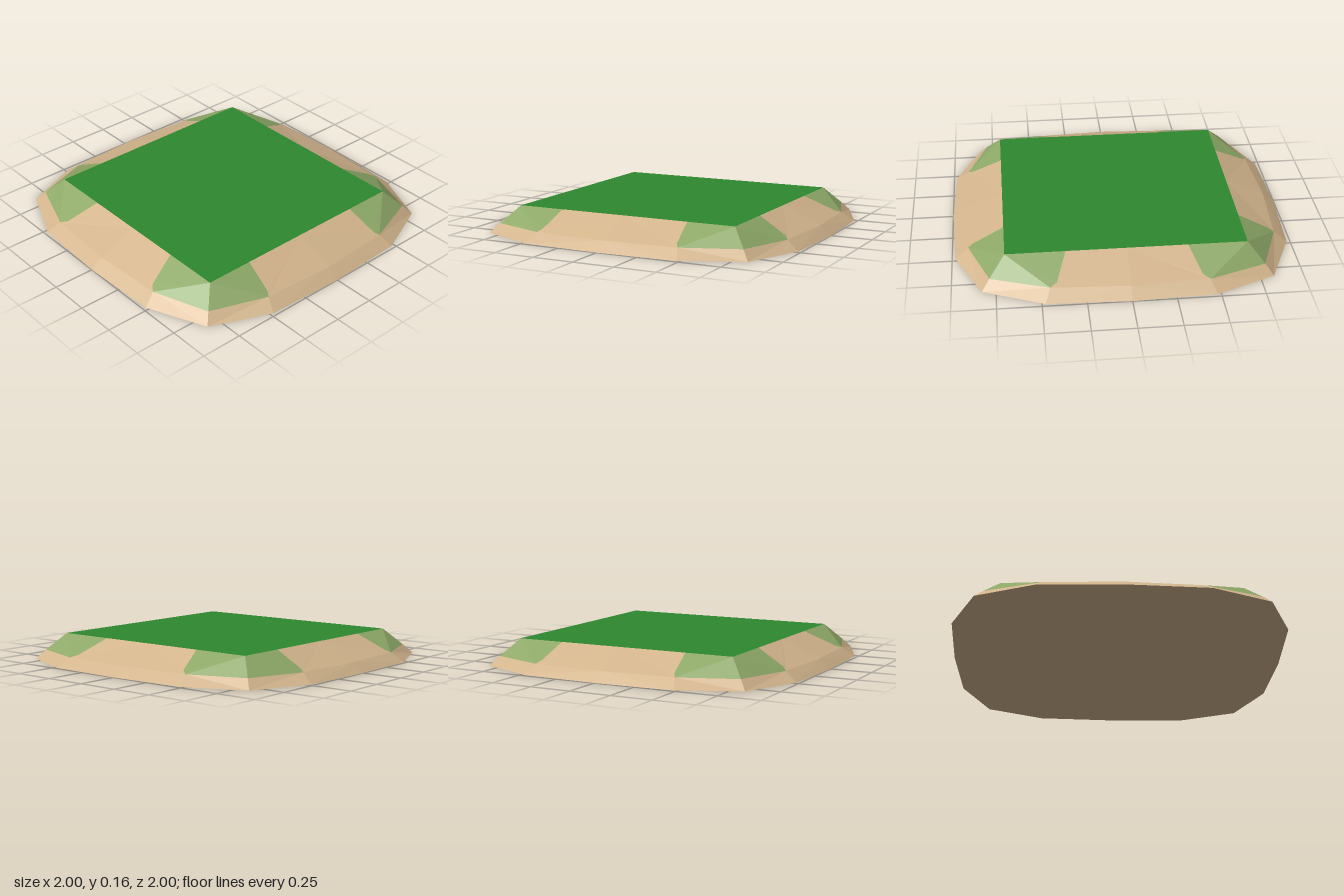
import * as THREE from 'three';

const TOP = 0.155, MID = 0.055, HALF = 0.695;

// Mesh of flat triangle fans; each triangle is wound to face up (1) or down (-1).
function fanMesh(name, polygons, material, facing = 1) {
  const pos = [];
  const n = new THREE.Vector3();
  for (const poly of polygons) {
    for (let i = 1; i < poly.length - 1; i++) {
      const tri = [poly[0], poly[i], poly[i + 1]].map((p) => new THREE.Vector3(...p));
      new THREE.Triangle(...tri).getNormal(n);
      if (n.y * facing < 0) tri.reverse();
      tri.forEach((p) => pos.push(p.x, p.y, p.z));
    }
  }
  const geometry = new THREE.BufferGeometry();
  geometry.setAttribute('position', new THREE.Float32BufferAttribute(pos, 3));
  geometry.computeVertexNormals();
  const mesh = new THREE.Mesh(geometry, material);
  mesh.name = name;
  return mesh;
}

export function createModel() {
  const sand = new THREE.MeshStandardMaterial({ name: 'sand', color: 0xd2b48c });
  const grass = new THREE.MeshStandardMaterial({ name: 'grass', color: 0x2e882e });
  const paleGrass = new THREE.MeshStandardMaterial({ name: 'pale grass', color: 0x8da867 });

  const bank = [], skirt = [], patches = [], base = [];

  // Half of one side (u along the side, v outwards), repeated eight times.
  for (const swap of [false, true]) {
    for (const su of [-1, 1]) {
      for (const sv of [-1, 1]) {
        const place = ([u, y, v]) => (swap ? [v * sv, y, u * su] : [u * su, y, v * sv]);
        const add = (list, ...points) => list.push(points.map(place));

        const topCentre = [0, TOP, HALF];
        const topCorner = [HALF, TOP, HALF];
        const patchTop = [swap ? 0.405 : 0.35, TOP, HALF];
        const patchSide = [swap ? 0.43 : 0.41, 0.07, 0.875];
        const midCentre = [0, MID, 0.93];
        const midSide = [0.45, MID, 0.905];
        const midCorner = [0.785, MID, 0.785];
        const outCentre = [0, 0, 1];
        const outSide = [0.48, 0, 0.98];
        const outCorner = [0.83, 0, 0.83];

        // upper slope and its corner patch
        add(bank, topCentre, patchTop, patchSide, midSide, midCentre);
        add(patches, topCorner, patchTop, patchSide, midSide, midCorner);
        // steeper lower rim
        add(skirt, midCentre, midSide, outSide, outCentre);
        add(skirt, midSide, midCorner, outCorner, outSide);
        // underside
        add(base, [0, 0, 0], outCentre, outSide, outCorner);
      }
    }
  }

  const lawn = [[[-HALF, TOP, -HALF], [-HALF, TOP, HALF], [HALF, TOP, HALF], [HALF, TOP, -HALF]]];

  const group = new THREE.Group();
  group.name = 'groundTile';
  group.add(
    fanMesh('lawn', lawn, grass),
    fanMesh('upperBank', bank, sand),
    fanMesh('cornerPatches', patches, paleGrass),
    fanMesh('lowerRim', skirt, sand),
    fanMesh('underside', base, sand, -1),
  );
  return group;
}
